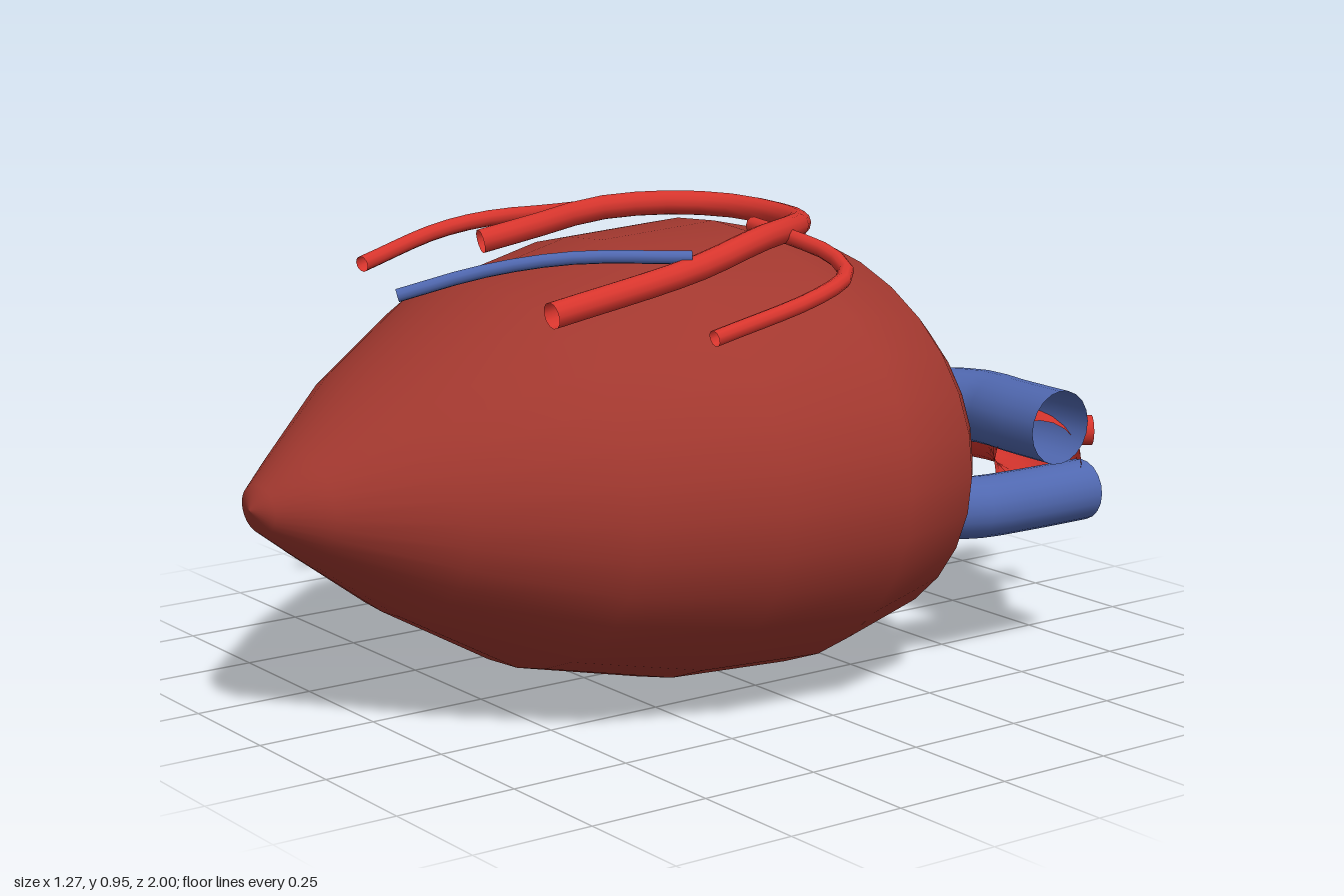
import * as THREE from 'three';

export function createModel() {
  const model = new THREE.Group();
  const material = (name, color) => {
    const m = new THREE.MeshStandardMaterial({ color, side: THREE.DoubleSide });
    m.name = name;
    return m;
  };
  const muscle = material('muscle red', 0xa2382f);
  const artery = material('artery red', 0xd7352d);
  const vein = material('vein blue', 0x5068b0);

  const add = (name, geometry, mat) => {
    const mesh = new THREE.Mesh(geometry, mat);
    mesh.name = name;
    model.add(mesh);
    return mesh;
  };

  // Open-ended vessel through a few points
  const vessel = (name, points, radius, mat, segments = 12, sides = 16) => {
    const curve = new THREE.CatmullRomCurve3(points.map((p) => new THREE.Vector3(...p)));
    return add(name, new THREE.TubeGeometry(curve, segments, radius, sides, false), mat);
  };

  // Ventricles: lathed along z, flattened in height, blunt base and pointed apex
  const profile = [
    [0, -0.4], [0.25, -0.395], [0.47, -0.38], [0.57, -0.29], [0.635, -0.08], [0.615, 0.2],
    [0.525, 0.48], [0.335, 0.72], [0.15, 0.9], [0.065, 0.98], [0, 1],
  ].map(([r, z]) => new THREE.Vector2(r, z));
  const body = new THREE.LatheGeometry(profile, 32);
  body.rotateX(Math.PI / 2);
  body.scale(1, 0.72, 1);
  body.translate(0, 0.458, 0);
  // Apex leans slightly to one side
  const pos = body.attributes.position;
  for (let i = 0; i < pos.count; i++) {
    const t = Math.max(0, pos.getZ(i) - 0.48) / 0.52;
    pos.setX(i, pos.getX(i) - 0.015 * t);
  }
  add('ventricles', body, muscle);

  // Atria bulging from the base
  const atrium = (name, x, radii) => {
    const mesh = add(name, new THREE.SphereGeometry(1, 28, 20), muscle);
    mesh.scale.set(...radii);
    mesh.position.set(x, 0.43, -0.27);
  };
  atrium('rightAtrium', -0.28, [0.27, 0.255, 0.22]);
  atrium('leftAtrium', 0.27, [0.24, 0.21, 0.185]);

  // Aortic arch and its three branches
  vessel('aorta', [
    [-0.19, 0.42, -0.36], [-0.19, 0.42, -0.52], [-0.13, 0.42, -0.7], [0, 0.415, -0.805],
    [0.12, 0.415, -0.81], [0.25, 0.415, -0.745], [0.41, 0.41, -0.615],
  ], 0.09, artery, 24, 20);
  vessel('archBranchRight', [[-0.09, 0.415, -0.8], [-0.145, 0.415, -0.97]], 0.035, artery, 1);
  vessel('archBranchMiddle', [[0.05, 0.415, -0.85], [0.05, 0.418, -1]], 0.038, artery, 1);
  vessel('archBranchLeft', [[0.19, 0.415, -0.8], [0.26, 0.415, -0.91]], 0.033, artery, 1);

  // Large blue vessels
  vessel('pulmonaryTrunk', [
    [0.1, 0.49, -0.34], [0.105, 0.495, -0.45], [0.15, 0.5, -0.55], [0.25, 0.505, -0.6],
    [0.36, 0.502, -0.6], [0.49, 0.5, -0.6],
  ], 0.077, vein, 12, 20);
  vessel('lowerVein', [
    [0.435, 0.345, -0.715], [0.435, 0.345, -0.55], [0.43, 0.347, -0.42], [0.38, 0.35, -0.32],
  ], 0.064, vein, 10, 20);

  // Surface vessels over the upper side
  vessel('mainCoronary', [
    [-0.43, 0.845, 0.21], [-0.4, 0.87, 0.1], [-0.34, 0.905, -0.02], [-0.25, 0.918, -0.15],
    [-0.15, 0.915, -0.24], [-0.03, 0.91, -0.26], [0.1, 0.912, -0.22], [0.2, 0.92, -0.12],
    [0.28, 0.92, 0.02], [0.33, 0.885, 0.22], [0.325, 0.83, 0.54],
  ], 0.026, artery, 24, 12);
  vessel('rightCoronaryBranch', [
    [-0.33, 0.91, -0.02], [-0.44, 0.89, 0.03], [-0.52, 0.877, 0.12], [-0.53, 0.86, 0.25],
    [-0.48, 0.815, 0.47],
  ], 0.017, artery, 12, 10);
  vessel('leftCoronaryBranch', [
    [0.14, 0.925, -0.07], [0.25, 0.912, -0.08], [0.36, 0.89, -0.095], [0.44, 0.865, -0.07],
    [0.5, 0.84, 0.05], [0.495, 0.785, 0.29],
  ], 0.016, artery, 14, 10);
  vessel('surfaceVein', [
    [0.33, 0.91, 0.22], [0.21, 0.912, 0.42], [0.12, 0.888, 0.56], [0.04, 0.845, 0.7],
  ], 0.013, vein, 10, 10);

  return model;
}
